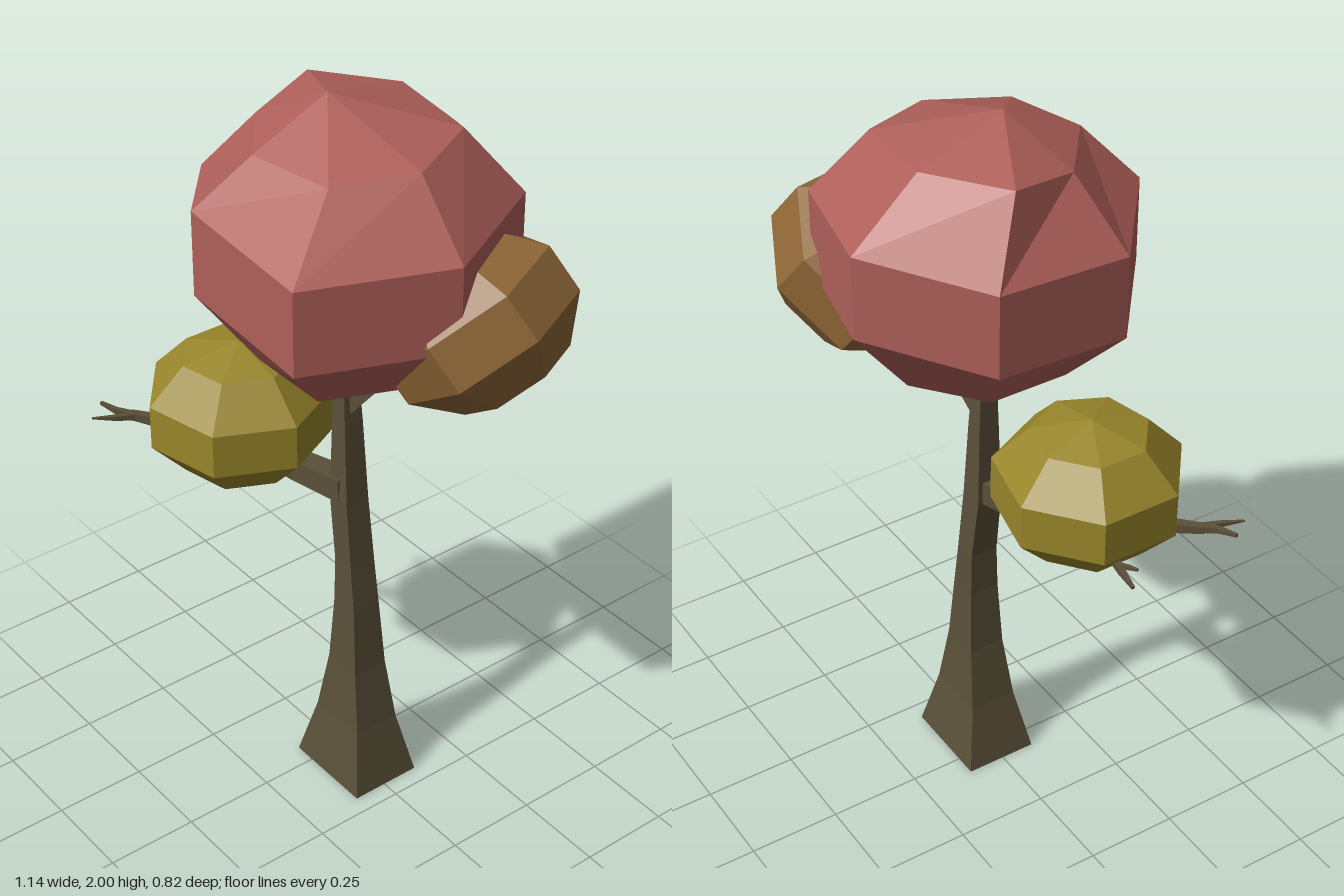
import * as THREE from 'three';

const V = (x, y, z) => new THREE.Vector3(x, y, z);
const material = (color) => new THREE.MeshStandardMaterial({ color, flatShading: true });
const bark = material(0x5a5039);

const centre = (ring) => ring.reduce((s, p) => s.add(p), V(0, 0, 0)).divideScalar(ring.length);

// Skins a stack of equal rings and closes both ends with a fan to a pole.
function loft(name, mat, rings, startPole = centre(rings[0]), endPole = centre(rings.at(-1))) {
  const pts = [];
  const n = rings[0].length;
  for (let i = 0; i < n; i++) {
    const j = (i + 1) % n;
    pts.push(startPole, rings[0][j], rings[0][i]);
    for (let k = 0; k < rings.length - 1; k++) {
      const a = rings[k], b = rings[k + 1];
      pts.push(a[i], a[j], b[j], a[i], b[j], b[i]);
    }
    pts.push(endPole, rings.at(-1)[i], rings.at(-1)[j]);
  }
  const geometry = new THREE.BufferGeometry().setFromPoints(pts);
  geometry.computeVertexNormals();
  const mesh = new THREE.Mesh(geometry, mat);
  mesh.name = name;
  return mesh;
}

// Square-sectioned limb along stations [x, y, z, halfWidth].
function limb(name, stations) {
  const p = stations.map(([x, y, z]) => V(x, y, z));
  const rings = stations.map(([, , , r], i) => {
    const dir = p[Math.min(i + 1, p.length - 1)].clone().sub(p[Math.max(i - 1, 0)]).normalize();
    const u = V(0, 1, 0).cross(dir).normalize();
    const v = dir.clone().cross(u);
    return [[1, 1], [-1, 1], [-1, -1], [1, -1]].map(([s, t]) =>
      p[i].clone().addScaledVector(u, s * r).addScaledVector(v, t * r));
  });
  return loft(name, bark, rings);
}

// Seven-sided, five-band ellipsoid crown around a given axis.
function crown(name, mat, c, axis, wide, thick) {
  axis.normalize();
  const v = axis.clone().cross(V(1, 0, 0)).normalize();
  const u = v.clone().cross(axis);
  const rings = [4, 3, 2, 1].map((k) => {
    const phi = (k * Math.PI) / 5;
    return Array.from({ length: 7 }, (_, i) => {
      const t = (i * Math.PI * 2) / 7, r = wide * Math.sin(phi);
      return c.clone().addScaledVector(axis, thick * Math.cos(phi))
        .addScaledVector(u, r * Math.cos(t)).addScaledVector(v, r * Math.sin(t));
    });
  });
  return loft(name, mat, rings,
    c.clone().addScaledVector(axis, -thick), c.clone().addScaledVector(axis, thick));
}

export function createModel() {
  const tree = new THREE.Group();
  tree.name = 'tree';

  // Trunk: [y, left x, right x, back z, front z]
  const trunk = [
    [0, -0.06, 0.2, -0.105, 0.095],
    [0.18, -0.015, 0.158, -0.07, 0.062],
    [0.36, 0.015, 0.127, -0.055, 0.045],
    [0.55, 0.027, 0.11, -0.046, 0.037],
    [0.68, 0.026, 0.092, -0.044, 0.033],
    [0.87, 0, 0.07, -0.04, 0.03],
    [1.1, 0, 0.052, -0.035, 0.022],
    [1.3, 0, 0.035, -0.028, 0.014],
    [1.45, 0.004, 0.028, -0.02, 0.008],
  ].map(([y, l, r, b, f]) => [V(r, y, f), V(r, y, b), V(l, y, b), V(l, y, f)]);
  tree.add(loft('trunk', bark, trunk));

  // Branches and forked twigs
  tree.add(
    limb('upperBranch', [[0.025, 1.14, -0.01, 0.02], [0.14, 1.285, -0.05, 0.016], [0.27, 1.42, -0.13, 0.01]]),
    limb('lowerBranch', [[0.03, 0.9, 0, 0.034], [-0.12, 0.9, 0.04, 0.03], [-0.25, 0.925, 0.1, 0.023],
      [-0.42, 0.962, 0.25, 0.014], [-0.49, 0.972, 0.31, 0.01]]),
    limb('twig', [[-0.48, 0.971, 0.305, 0.01], [-0.52, 0.978, 0.333, 0.007], [-0.567, 0.985, 0.35, 0.004]]),
    limb('twig', [[-0.48, 0.971, 0.305, 0.009], [-0.5, 0.975, 0.355, 0.006], [-0.526, 0.98, 0.405, 0.002]]),
    limb('sideTwig', [[-0.25, 0.93, 0.1, 0.016], [-0.41, 0.938, 0.085, 0.011], [-0.47, 0.927, 0.075, 0.008],
      [-0.53, 0.92, 0.068, 0.004]]),
    limb('sideTwig', [[-0.45, 0.93, 0.078, 0.007], [-0.48, 0.938, 0.092, 0.005], [-0.505, 0.945, 0.098, 0.003]]),
  );

  // Two regular crowns
  tree.add(
    crown('lowerCrown', material(0x98862b), V(-0.262, 1.043, 0.12), V(0, 1, 0), 0.258, 0.198),
    crown('sideCrown', material(0x8e6636), V(0.325, 1.48, -0.16), V(-0.5, 0.75, 0.3), 0.262, 0.21),
  );

  // Irregular top crown: outline [x, z] with band heights, and its shoulder ring
  const outline = [
    [0.445, -0.01, 1.73], [0.29, -0.33, 1.75], [-0.05, -0.41, 1.77], [-0.33, -0.19, 1.74],
    [-0.33, 0.165, 1.725], [-0.1, 0.355, 1.76], [0.29, 0.355, 1.725],
  ];
  const shoulder = [
    [0.285, 1.9, -0.015], [0.2, 1.92, -0.21], [-0.05, 1.935, -0.23], [-0.24, 1.935, -0.09],
    [-0.19, 1.9, 0.1], [-0.02, 1.9, 0.235], [0.2, 1.89, 0.185],
  ];
  tree.add(loft('topCrown', material(0xaf605a), [
    outline.map(([x, z]) => V(0.02 + x * 0.6, 1.33, z * 0.6)),
    outline.map(([x, z, y]) => V(x, y - 0.225, z)),
    outline.map(([x, z, y]) => V(x, y, z)),
    shoulder.map((p) => V(...p)),
  ], V(0.01, 1.27, 0), V(-0.01, 2, 0.025)));

  return tree;
}
